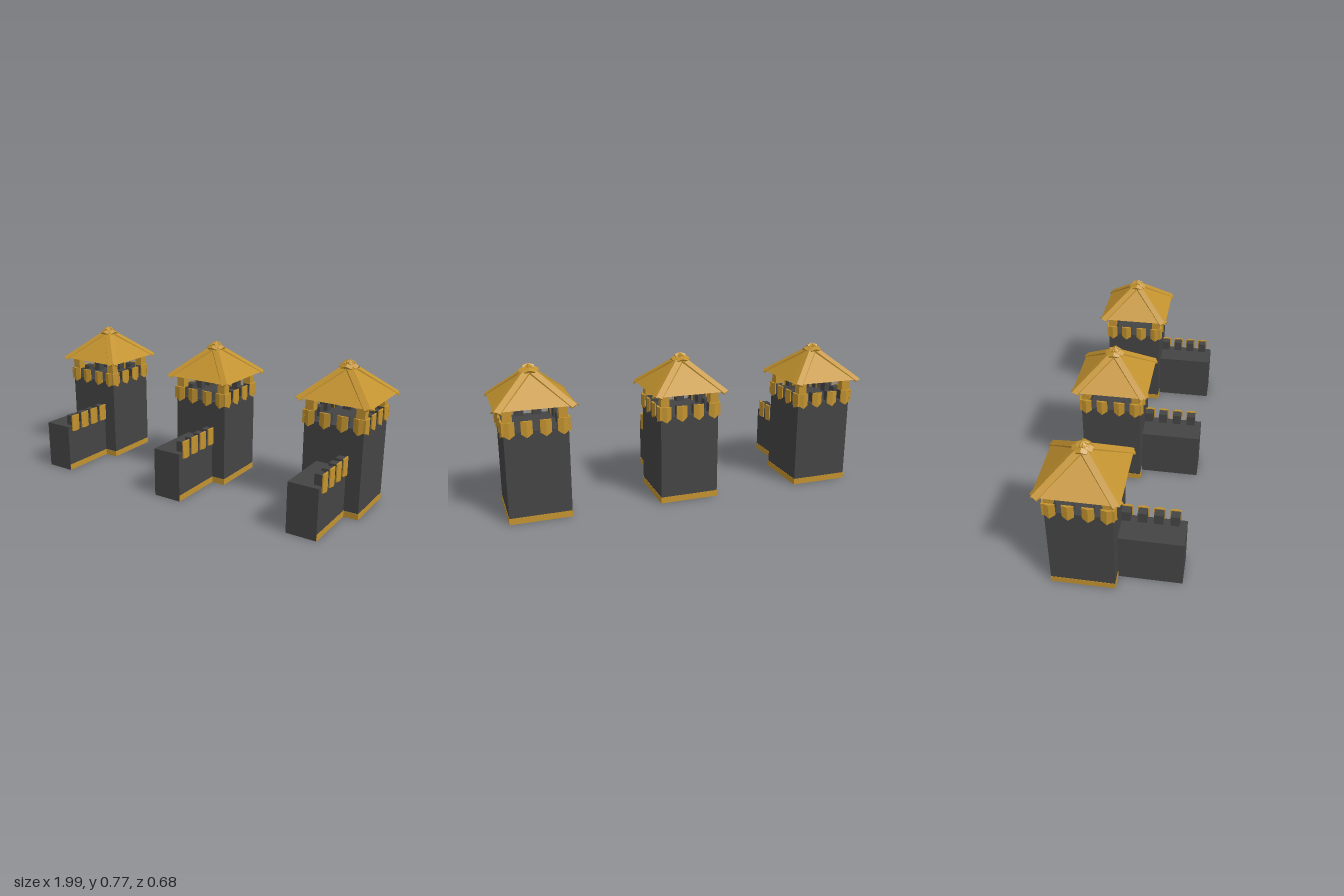
import * as THREE from 'three';

const stone = new THREE.MeshStandardMaterial({ color: 0x444444, flatShading: true });
const gold = new THREE.MeshStandardMaterial({ color: 0xc2922f, flatShading: true });

function add(parent, name, geometry, material, x = 0, y = 0, z = 0) {
  const mesh = new THREE.Mesh(geometry, material);
  mesh.name = name;
  mesh.position.set(x, y, z);
  parent.add(mesh);
  return mesh;
}

// Box given by its lower and upper corners
function block(parent, name, material, [x0, y0, z0], [x1, y1, z1]) {
  return add(parent, name, new THREE.BoxGeometry(x1 - x0, y1 - y0, z1 - z0), material,
    (x0 + x1) / 2, (y0 + y1) / 2, (z0 + z1) / 2);
}

// Upright plate with a creased front; the crease may hang lower than the sides
function plateGeometry(width, bottom, top, drop) {
  const w = width / 2;
  const shape = new THREE.Shape([[-w, 0], [0, 0], [w, 0], [w, -0.006], [0, -0.014], [-w, -0.006]]
    .map(([x, y]) => new THREE.Vector2(x, y)));
  const g = new THREE.ExtrudeGeometry(shape, { depth: top - bottom, bevelEnabled: false });
  g.rotateX(-Math.PI / 2).translate(0, bottom, 0);
  const p = g.attributes.position;
  for (let i = 0; i < p.count; i++) {
    if (Math.abs(p.getX(i)) < 1e-4 && p.getY(i) < bottom + 1e-4) p.setY(i, bottom - drop);
  }
  g.computeVertexNormals();
  return g;
}

// Merlon facing +z: stone block behind a golden plate
function merlon(parent, width, base, bottom, top, drop) {
  const m = new THREE.Group();
  m.name = 'merlon';
  add(m, 'merlonPlate', plateGeometry(width, bottom, top, drop), gold);
  const w = width * 0.4;
  block(m, 'merlonBlock', stone, [-w, base, -0.042], [w, top - 0.004, 0.001]);
  parent.add(m);
  return m;
}

// Angled strip laid over a ridge from one point to another
function ridgeBeam(parent, name, from, to, w, drop, t) {
  const shape = new THREE.Shape([[-w, -drop], [-w, -drop - t], [0, -t], [w, -drop - t], [w, -drop], [0, 0]]
    .map(([x, y]) => new THREE.Vector2(x, y)));
  const g = new THREE.ExtrudeGeometry(shape, { depth: from.distanceTo(to), bevelEnabled: false });
  const beam = new THREE.Mesh(g, gold);
  beam.name = name;
  beam.position.copy(from);
  beam.lookAt(to);
  parent.add(beam);
}

function makeTower() {
  const tower = new THREE.Group();
  tower.name = 'tower';
  tower.position.z = -0.128;
  const h = 0.157;
  block(tower, 'towerBody', stone, [-h, 0, -h], [h, 0.47, h]);

  // Base bands, parapet, posts and roof beams repeat on four sides
  for (let side = 0; side < 4; side++) {
    const s = new THREE.Group();
    s.name = 'towerSide';
    s.rotation.y = side * Math.PI / 2;
    tower.add(s);
    block(s, 'baseBand', gold, [-h - 0.001, 0.0005, h - 0.005], [h + 0.001, 0.033, h + 0.0015]);
    for (const x of [-0.131, -0.046, 0.046, 0.131]) {
      merlon(s, 0.056, 0.47, 0.46, 0.524, 0.018).position.set(x, 0, h);
    }
    // Corner filler between neighbouring plates
    block(s, 'cornerPlate', gold, [h - 0.002, 0.456, h - 0.002], [h + 0.008, 0.524, h + 0.008]);
    block(s, 'roofPost', gold, [0.111, 0.47, 0.111], [0.156, 0.6, 0.156]);
    ridgeBeam(s, 'hipBeam', new THREE.Vector3(0, 0.763, 0), new THREE.Vector3(0.193, 0.594, 0.193), 0.028, 0.013, 0.009);
    ridgeBeam(s, 'roofCapArm', new THREE.Vector3(0, 0.769, 0), new THREE.Vector3(0, 0.74, 0.05), 0.028, 0.011, 0.012);
  }

  // Four-sided roof
  const roof = new THREE.ConeGeometry(0.197 * Math.SQRT2, 0.165, 4);
  roof.rotateY(Math.PI / 4);
  add(tower, 'roof', roof, gold, 0, 0.588 + 0.0825, 0);
  return tower;
}

function makeWall() {
  const wall = new THREE.Group();
  wall.name = 'wall';
  block(wall, 'wallBody', stone, [-0.08, 0, 0.0305], [0.08, 0.265, 0.345]);
  block(wall, 'wallBaseBand', gold, [0.075, 0.0005, 0.0305], [0.0815, 0.033, 0.3445]);
  // Merlons along the outer side
  for (let i = 0; i < 4; i++) {
    const m = merlon(wall, 0.055, 0.265, 0.233, 0.325, 0);
    m.position.set(0.08, 0, 0.287 - i * 0.0785);
    m.rotation.y = Math.PI / 2;
  }
  return wall;
}

export function createModel() {
  const model = new THREE.Group();
  model.name = 'gateTowers';
  for (const x of [-0.785, 0, 0.785]) {
    const unit = new THREE.Group();
    unit.name = 'towerWithWall';
    unit.position.x = x;
    unit.add(makeTower(), makeWall());
    model.add(unit);
  }
  return model;
}
